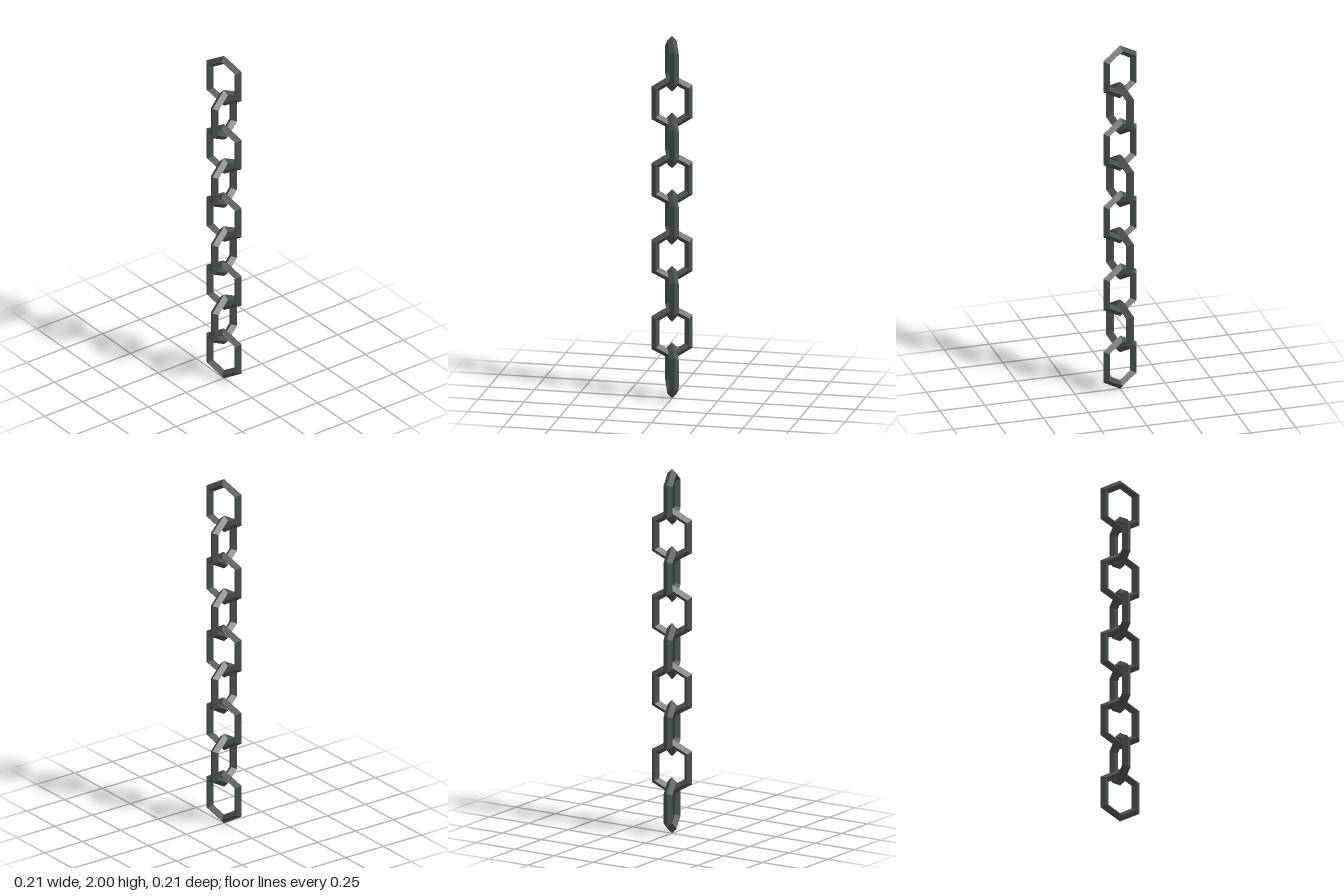
import * as THREE from 'three';

const LINKS = 9;
const RADIUS = 0.1028; // hexagon centreline
const BAR = 0.025;     // half thickness of the four-sided bar
const STRETCH = 0.0265; // lengthens each half of the link
const HEIGHT = 2 * (RADIUS + BAR + STRETCH);

// Hexagonal ring with a diamond section, pulled apart along y
function linkGeometry() {
  const geo = new THREE.TorusGeometry(RADIUS, BAR, 4, 6);
  geo.rotateZ(Math.PI / 2);
  const pos = geo.attributes.position;
  for (let i = 0; i < pos.count; i++) {
    pos.setY(i, pos.getY(i) + Math.sign(pos.getY(i)) * STRETCH);
  }
  const flat = geo.toNonIndexed();
  flat.computeVertexNormals();
  return flat;
}

export function createModel() {
  const model = new THREE.Group();
  model.name = 'chain';
  const darkIron = new THREE.MeshStandardMaterial({ color: 0x4b514d, flatShading: true });
  darkIron.name = 'darkIron';
  const geo = linkGeometry();
  const pitch = (2 - HEIGHT) / (LINKS - 1);

  // Links alternate by a quarter turn
  for (let i = 0; i < LINKS; i++) {
    const link = new THREE.Mesh(geo, darkIron);
    link.name = `link${i + 1}`;
    link.position.y = HEIGHT / 2 + i * pitch;
    link.rotation.y = THREE.MathUtils.degToRad(20 + (i % 2) * 90);
    model.add(link);
  }
  return model;
}
